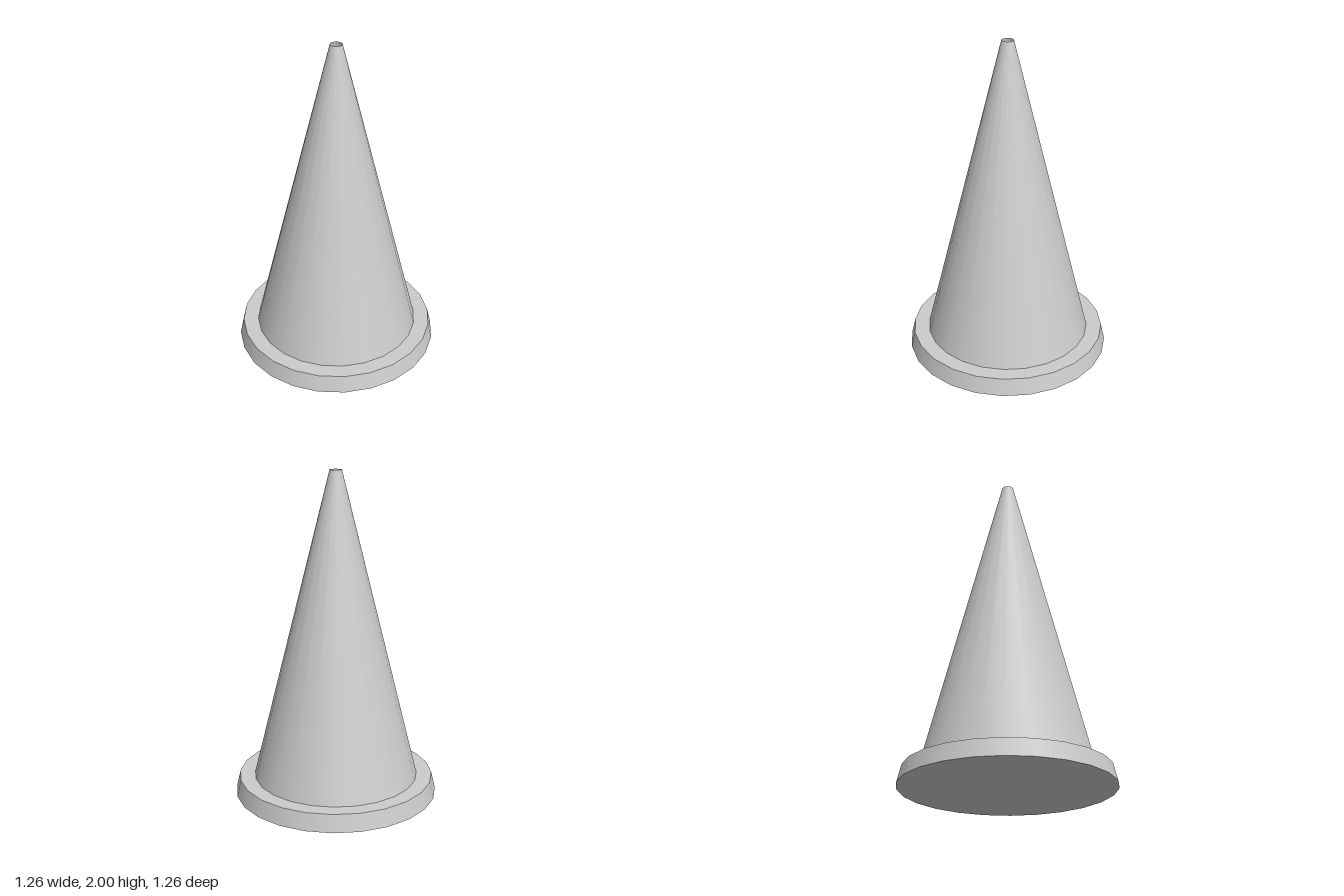
import * as THREE from 'three';

const SIDES = 24;

export function createModel() {
  const group = new THREE.Group();
  const material = new THREE.MeshStandardMaterial({ color: 0xcccccc });
  const shellMaterial = new THREE.MeshStandardMaterial({ color: 0xcccccc, side: THREE.DoubleSide });

  // Adds a tapered round part standing between two heights
  const addTaper = (name, topRadius, bottomRadius, y0, y1, open, mat) => {
    const geometry = new THREE.CylinderGeometry(topRadius, bottomRadius, y1 - y0, SIDES, 1, open);
    const mesh = new THREE.Mesh(geometry, mat);
    mesh.name = name;
    mesh.position.y = (y0 + y1) / 2;
    group.add(mesh);
  };

  // Solid foot with a slightly sloped rim
  addTaper('base', 0.605, 0.63, 0, 0.105, false, material);

  // Thin hollow cone, open at the tip so the base shows through
  addTaper('cone', 0.036, 0.51, 0.105, 2, true, shellMaterial);

  return group;
}
